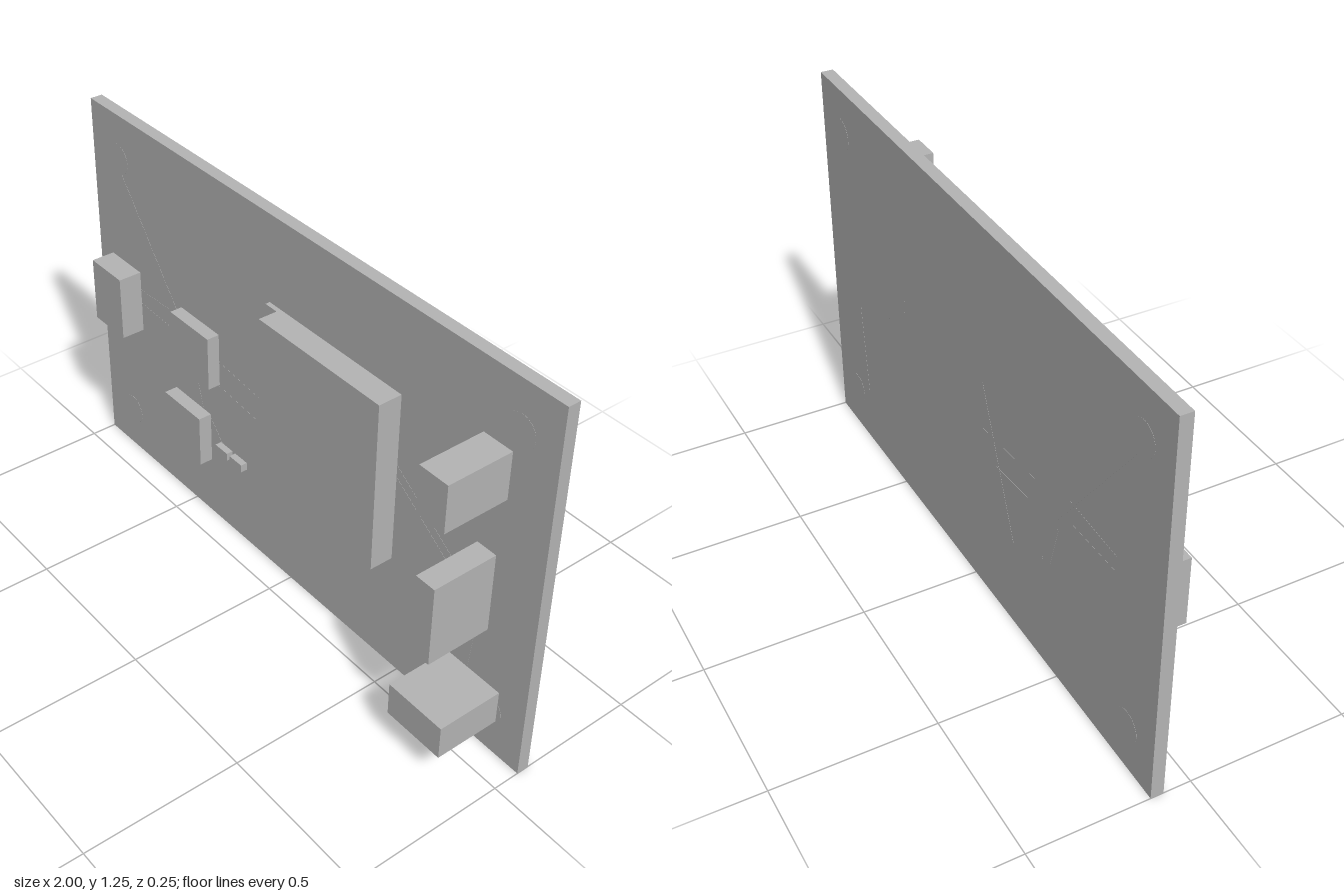
import * as THREE from 'three';

export function createModel() {
  const group = new THREE.Group();
  const grey = new THREE.MeshStandardMaterial({ color: 0xb4b4b4 });
  grey.name = 'plain grey';
  const back = -0.125, face = -0.085;

  function add(name, geometry) {
    const mesh = new THREE.Mesh(geometry, grey);
    mesh.name = name;
    group.add(mesh);
    return mesh;
  }
  // Block given by its front rectangle and depth range
  function block(name, x0, x1, y0, y1, z1, z0 = face) {
    add(name, new THREE.BoxGeometry(x1 - x0, y1 - y0, z1 - z0))
      .position.set((x0 + x1) / 2, (y0 + y1) / 2, (z0 + z1) / 2);
  }

  // Circuit board
  block('board', -1, 1, 0, 1.25, face, back);

  // Chips and small components
  block('leftModule', -0.93, -0.775, 0.52, 0.737, -0.007);
  block('upperChip', -0.551, -0.358, 0.538, 0.722, -0.043);
  block('lowerChip', -0.596, -0.41, 0.214, 0.394, -0.04);
  block('mainModule', -0.058, 0.45, 0.4, 0.967, -0.008);
  for (const x of [-0.358, -0.284]) block('resistor', x, x + 0.06, 0.289, 0.316, -0.063);
  for (const y of [0.94, 0.865]) block('capacitor', -0.108, -0.058, y, y + 0.027, -0.07);

  // Connectors along the right edge
  block('topConnector', 0.748, 0.85, 0.877, 1.028, 0.127);
  block('middleConnector', 0.765, 0.834, 0.42, 0.682, 0.127);
  block('bottomConnector', 0.695, 0.9, 0.122, 0.233, 0.127);

  // Mounting pads, nearly flush with both faces
  const depth = face - back + 0.001, mid = (face + back) / 2;
  for (const x of [-0.865, 0.865]) for (const y of [0.15, 1.1]) {
    const pad = add('mountingPad', new THREE.CylinderGeometry(0.052, 0.052, depth, 24));
    pad.rotation.x = Math.PI / 2;
    pad.position.set(x, y, mid);
  }

  // Traces, nearly flush with both faces: start x, y and end x, y
  const traces = [
    [-0.78, 0.67, -0.55, 0.68], [-0.78, 0.62, -0.55, 0.61],
    [-0.36, 0.62, -0.06, 0.59], [-0.36, 0.53, -0.06, 0.5],
    [-0.49, 0.54, -0.45, 0.39], [-0.41, 0.38, -0.35, 0.31],
    [-0.24, 0.3, -0.06, 0.75], [0.45, 0.73, 0.77, 0.5],
    [0.45, 0.69, 0.77, 0.46], [0.8, 0.52, 0.77, 0.2],
    [-0.49, 0.58, -0.865, 1.07],
  ];
  for (const [x0, y0, x1, y1] of traces) {
    const length = Math.hypot(x1 - x0, y1 - y0);
    const trace = add('trace', new THREE.BoxGeometry(length, 0.006, depth));
    trace.position.set((x0 + x1) / 2, (y0 + y1) / 2, mid);
    trace.rotation.z = Math.atan2(y1 - y0, x1 - x0);
  }
  return group;
}
